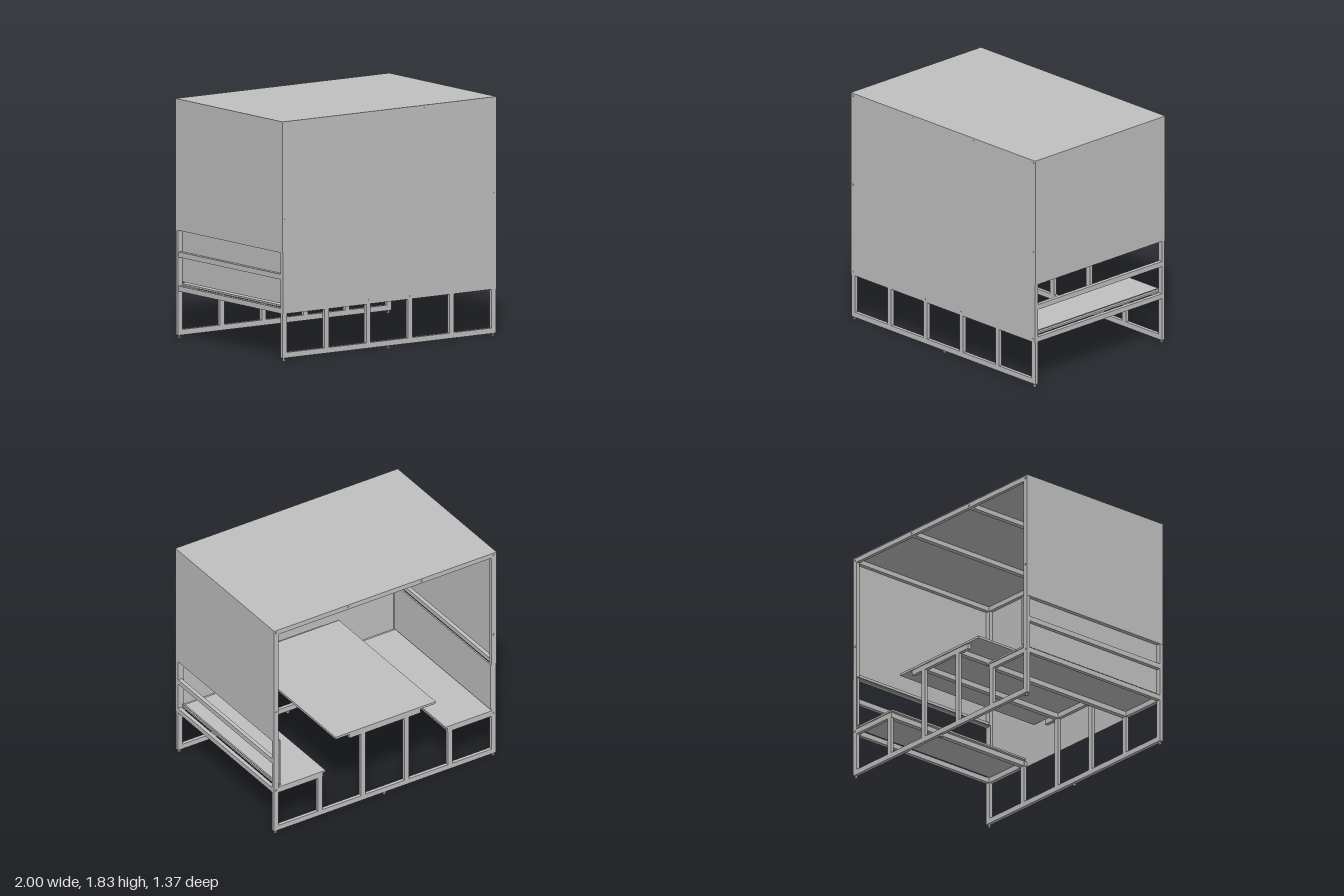
import * as THREE from 'three';

const steel = new THREE.MeshStandardMaterial({ color: 0xc0c0c0 });
steel.name = 'light grey steel';

export function createModel() {
  const root = new THREE.Group();
  root.name = 'coveredBooth';

  // Box given by its minimum and maximum on each axis
  const box = (name, [x0, x1], [y0, y1], [z0, z1]) => {
    const mesh = new THREE.Mesh(new THREE.BoxGeometry(x1 - x0, y1 - y0, z1 - z0), steel);
    mesh.position.set((x0 + x1) / 2, (y0 + y1) / 2, (z0 + z1) / 2);
    mesh.name = name;
    root.add(mesh);
    return mesh;
  };
  // Range mirrored across zero when the side is -1
  const side = (s, a, b) => (s > 0 ? [a, b] : [-b, -a]);

  const T = 0.04; // tube width
  const IN = 0.65, OUT = 0.678; // inner and outer depth of the end frames

  // Feet and bolts
  const disc = (name, r, h, x, y, z, alongZ) => {
    const mesh = new THREE.Mesh(new THREE.CylinderGeometry(r, r, h, 12), steel);
    mesh.position.set(x, y, z);
    if (alongZ) mesh.rotation.x = Math.PI / 2;
    mesh.name = name;
    root.add(mesh);
  };

  // Front and back frames
  for (const s of [1, -1]) {
    const z = side(s, IN, OUT);
    const zMid = s * (IN + OUT) / 2;
    box('bottomRail', [-0.998, 0.998], [0.022, 0.064], z);
    box('topRail', [-0.958, 0.958], [1.785, 1.822], z);
    box('tableCrossbar', [-0.32, 0.32], [0.62, 0.66], z);
    for (const x of [-0.585, 0.585]) box('benchPost', [x - T / 2, x + T / 2], [0.064, 0.36], z);
    for (const x of [-0.195, 0.195]) box('tablePost', [x - T / 2, x + T / 2], [0.064, 0.62], z);
    for (const m of [1, -1]) {
      box('cornerPost', side(m, 0.957, 0.998), [0.022, 1.822], z);
      box('benchEndBar', side(m, 0.56, 0.957), [0.36, 0.4], z);
    }
    for (const x of [-0.978, 0, 0.978]) {
      disc('foot', 0.013, 0.01, x, 0.005, zMid);
      disc('footStem', 0.007, 0.014, x, 0.016, zMid);
    }
    const bolts = [[0.978, 1.805], [0.33, 1.805], [0.978, 1.09], [0.978, 0.385]];
    if (s > 0) bolts.push([0.195, 0.385]);
    for (const [x, y] of bolts)
      for (const m of [1, -1]) disc('bolt', 0.008, 0.008, m * x, y, s * 0.68, true);
  }

  // Long rails running from front to back
  const span = [-IN, IN];
  for (const m of [1, -1]) {
    const outer = side(m, 0.965, 0.997);
    box('roofSideRail', outer, [1.785, 1.822], span);
    box('sidePanelRail', outer, [0.825, 0.862], span);
    box('backrestRail', outer, [0.62, 0.66], span);
    box('benchOuterRail', outer, [0.36, 0.4], span);
    box('benchInnerRail', side(m, 0.565, 0.605), [0.36, 0.4], span);
    box('roofBeam', side(m, 0.31, 0.35), [1.785, 1.822], span);
    box('tableRail', side(m, 0.175, 0.215), [0.62, 0.66], span);
  }

  // Sheet cladding
  box('frontPanel', [-0.998, 0.998], [0.36, 1.825], [0.678, 0.682]);
  box('roofPanel', [-1, 1], [1.822, 1.828], [-0.682, 0.682]);
  for (const m of [1, -1]) box('sidePanel', side(m, 0.997, 1), [0.825, 1.822], [-0.68, 0.68]);

  // Table top and bench seats
  const top = [-0.685, 0.65];
  box('tableTop', [-0.45, 0.45], [0.66, 0.678], top);
  for (const m of [1, -1]) box('benchSeat', side(m, 0.54, 0.957), [0.4, 0.414], top);

  // Solid backrest on the right, open rim on the left
  box('backrest', [-0.957, -0.945], [0.427, 0.83], top);
  const rimX = [0.945, 0.957];
  box('backrestRimTop', rimX, [0.827, 0.83], top);
  box('backrestRimBottom', rimX, [0.427, 0.43], top);
  box('backrestRimBack', rimX, [0.43, 0.827], [-0.685, -0.682]);
  box('backrestRimFront', rimX, [0.43, 0.827], [0.647, 0.65]);

  return root;
}
